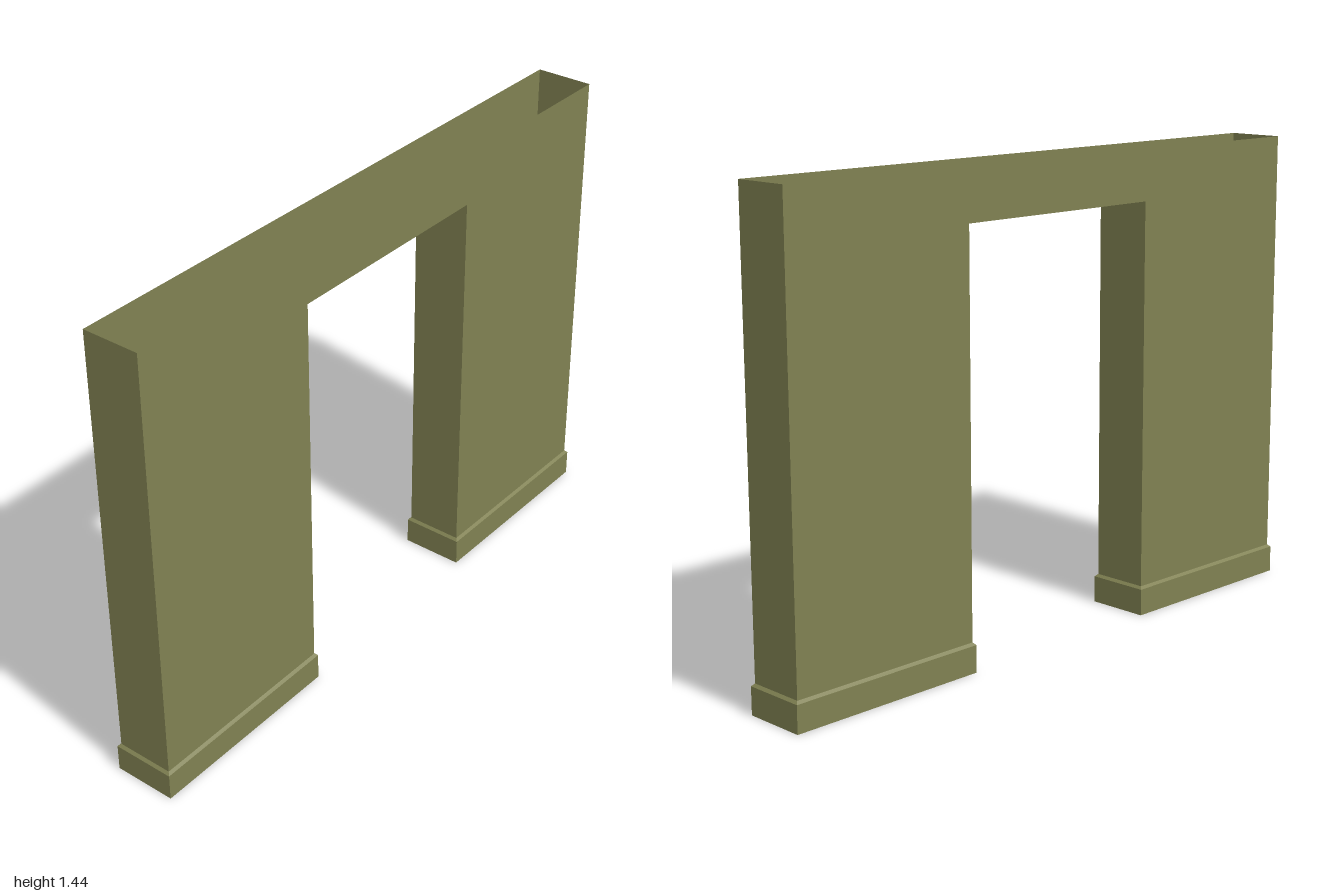
import * as THREE from 'three';

const HALF = 0.09, END = 0.992, JAMB = 0.36;      // wall half thickness, outer end, opening edge
const TOP = 1.441, HEAD = 1.286, BASE = 0.091;    // wall top, opening top, skirting top

export function createModel() {
  const group = new THREE.Group();
  group.name = 'doorwayWall';
  const olive = new THREE.MeshStandardMaterial({ color: 0x808152, side: THREE.DoubleSide });
  olive.name = 'olive';

  const add = (name, geometry) => {
    const mesh = new THREE.Mesh(geometry, olive);
    mesh.name = name;
    group.add(mesh);
    return mesh;
  };

  // Two broad faces with the doorway cut out
  const outline = new THREE.Shape([
    [-END, BASE], [-JAMB, BASE], [-JAMB, HEAD], [JAMB, HEAD],
    [JAMB, BASE], [END, BASE], [END, TOP], [-END, TOP],
  ].map(([x, y]) => new THREE.Vector2(x, y)));
  for (const s of [1, -1]) {
    const face = add(s > 0 ? 'leftFace' : 'rightFace',
      new THREE.ShapeGeometry(outline).rotateY(s * Math.PI / 2));
    face.position.x = s * HALF;
  }

  // Outer ends and the jambs of the opening
  const upright = (name, z, y1, dir) => {
    const g = new THREE.PlaneGeometry(HALF * 2, y1 - BASE);
    if (dir < 0) g.rotateY(Math.PI);
    add(name, g).position.set(0, (BASE + y1) / 2, z);
  };
  for (const s of [1, -1]) {
    const where = s > 0 ? 'front' : 'back';
    upright(where + 'End', s * END, TOP, s);
    upright(where + 'Jamb', s * JAMB, HEAD, -s);
  }

  // Underside of the lintel; the wall top stays open
  add('lintelSoffit', new THREE.PlaneGeometry(HALF * 2, JAMB * 2).rotateX(Math.PI / 2))
    .position.y = HEAD;

  // Skirting: hollow rectangular rings with a small bevel up to the wall
  const mid = (END + JAMB) / 2, halfLen = (END - JAMB) / 2;
  const rings = [[0.008, 0], [0.008, 0.083], [0, BASE]]; // [overhang, y]
  const corners = [[1, 1], [1, -1], [-1, -1], [-1, 1]];
  const points = [];
  for (let r = 0; r < rings.length - 1; r++) {
    for (let i = 0; i < 4; i++) {
      const at = ([out, y], k) => {
        const [sx, sz] = corners[k % 4];
        return [sx * (HALF + out), y, sz * (halfLen + out)];
      };
      const a = at(rings[r], i), b = at(rings[r], i + 1);
      const c = at(rings[r + 1], i + 1), d = at(rings[r + 1], i);
      points.push(...a, ...b, ...c, ...a, ...c, ...d);
    }
  }
  const skirting = new THREE.BufferGeometry();
  skirting.setAttribute('position', new THREE.Float32BufferAttribute(points, 3));
  skirting.computeVertexNormals();
  for (const s of [1, -1]) {
    add(s > 0 ? 'frontSkirting' : 'backSkirting', skirting).position.z = s * mid;
  }
  return group;
}
